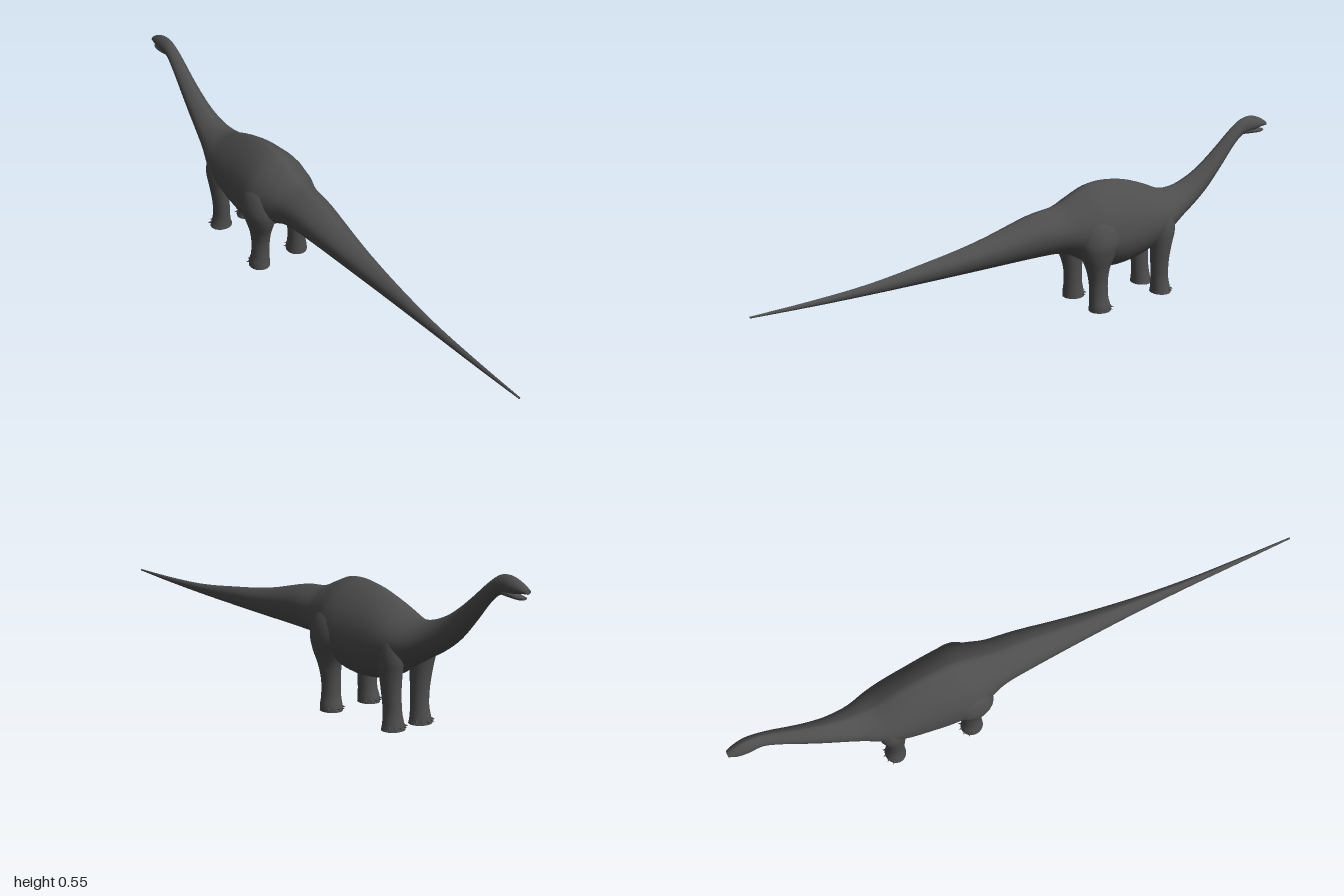
import * as THREE from 'three';

const hide = new THREE.MeshStandardMaterial({ color: 0x4d4d4d });
hide.name = 'dark grey hide';

// Smoothly resamples rows of numbers (Catmull-Rom through every row).
function resample(rows, steps) {
  const out = [];
  const at = i => rows[Math.max(0, Math.min(rows.length - 1, i))];
  for (let i = 0; i < rows.length - 1; i++) {
    for (let k = 0; k < steps; k++) {
      const t = k / steps;
      out.push(rows[i].map((b, c) => {
        const a = at(i - 1)[c], d = at(i + 1)[c], e = at(i + 2)[c];
        return b + 0.5 * t * (d - a + t * (2 * a - 5 * b + 4 * d - e + t * (3 * (b - d) + e - a)));
      }));
    }
  }
  out.push(rows[rows.length - 1]);
  return out;
}

// Skins closed rings of points and caps both ends with crisp edges.
function loft(rings, name) {
  const pos = [], index = [], n = rings[0].length;
  rings.forEach(r => r.forEach(p => pos.push(...p)));
  for (let i = 0; i < rings.length - 1; i++) {
    for (let j = 0; j < n; j++) {
      const a = i * n + j, b = i * n + (j + 1) % n;
      index.push(a, b, a + n, b, b + n, a + n);
    }
  }
  [rings[0], rings[rings.length - 1]].forEach((ring, end) => {
    const start = pos.length / 3;
    ring.forEach(p => pos.push(...p));
    pos.push(...[0, 1, 2].map(c => ring.reduce((s, p) => s + p[c], 0) / n));
    for (let j = 0; j < n; j++) {
      const a = start + j, b = start + (j + 1) % n;
      index.push(start + n, end ? a : b, end ? b : a);
    }
  });
  const geo = new THREE.BufferGeometry();
  geo.setAttribute('position', new THREE.Float32BufferAttribute(pos, 3));
  geo.setIndex(index);
  geo.computeVertexNormals();
  const mesh = new THREE.Mesh(geo, hide);
  mesh.name = name;
  return mesh;
}

// Lengthwise form from rows of x, top, bottom, height of widest point, half width.
// The upper half narrows toward the spine, the lower half is rounder.
function lengthwise(rows, name, ridge, keel, steps = 4, sides = 32) {
  return loft(resample(rows, steps).map(([x, top, bottom, mid, w]) =>
    Array.from({ length: sides }, (_, j) => {
      const a = j / sides * Math.PI * 2, c = Math.cos(a), s = Math.sin(a);
      const z = Math.sign(s) * w * Math.pow(Math.abs(s), c > 0 ? ridge : keel);
      return [x, mid + c * (c > 0 ? top - mid : mid - bottom), z];
    })), name);
}

// Leg from rows of y, centre x, centre z, radius x, radius z.
function leg(rows, side, name, sides = 20) {
  return loft(resample(rows, 4).map(([y, cx, cz, rx, rz]) =>
    Array.from({ length: sides }, (_, j) => {
      const a = j / sides * Math.PI * 2;
      return [cx + rx * Math.cos(a), y, side * cz + rz * Math.sin(a)];
    })), name);
}

// Fan of short claws around the front of a foot.
function claws(cx, cz, rx, rz, name) {
  const group = new THREE.Group();
  group.name = name;
  for (let i = -2; i <= 2; i++) {
    const a = i * 0.5;
    const geo = new THREE.ConeGeometry(0.009, 0.026, 8);
    geo.rotateZ(Math.PI / 2 + 0.25);
    geo.rotateY(a);
    const claw = new THREE.Mesh(geo, hide);
    claw.name = 'claw';
    claw.position.set(cx - rx * 0.9 * Math.cos(a), 0.0115, cz + rz * 0.95 * Math.sin(a));
    group.add(claw);
  }
  return group;
}

export function createModel() {
  const model = new THREE.Group();
  model.name = 'longNeckedDinosaur';

  // Snout, neck, trunk and tail in one continuous skin
  model.add(lengthwise([
    [-1.0, 0.522, 0.507, 0.513, 0.011],
    [-0.975, 0.537, 0.505, 0.517, 0.019],
    [-0.935, 0.551, 0.495, 0.52, 0.024],
    [-0.89, 0.545, 0.486, 0.515, 0.022],
    [-0.845, 0.515, 0.45, 0.48, 0.025],
    [-0.79, 0.468, 0.385, 0.425, 0.03],
    [-0.73, 0.42, 0.32, 0.37, 0.037],
    [-0.67, 0.382, 0.275, 0.325, 0.047],
    [-0.6, 0.356, 0.235, 0.29, 0.064],
    [-0.53, 0.357, 0.195, 0.27, 0.09],
    [-0.46, 0.387, 0.152, 0.26, 0.105],
    [-0.38, 0.416, 0.128, 0.255, 0.113],
    [-0.3, 0.43, 0.125, 0.255, 0.121],
    [-0.23, 0.426, 0.148, 0.265, 0.122],
    [-0.16, 0.398, 0.188, 0.28, 0.1],
    [-0.1, 0.373, 0.208, 0.29, 0.081],
    [0.0, 0.36, 0.212, 0.292, 0.069],
    [0.2, 0.31, 0.212, 0.267, 0.045],
    [0.4, 0.278, 0.213, 0.247, 0.026],
    [0.6, 0.252, 0.216, 0.235, 0.014],
    [0.8, 0.241, 0.222, 0.232, 0.008],
    [1.0, 0.237, 0.231, 0.234, 0.003],
  ], 'bodyNeckAndTail', 1.45, 1.1));

  // Lower jaw, slightly open
  model.add(lengthwise([
    [-0.988, 0.497, 0.489, 0.493, 0.009],
    [-0.97, 0.5, 0.486, 0.493, 0.015],
    [-0.93, 0.51, 0.488, 0.498, 0.019],
    [-0.89, 0.515, 0.49, 0.503, 0.015],
  ], 'lowerJaw', 1, 1, 4, 20));

  const hindLeg = [
    [0.36, -0.235, 0.05, 0.03, 0.02],
    [0.31, -0.23, 0.067, 0.068, 0.05],
    [0.25, -0.226, 0.08, 0.077, 0.055],
    [0.2, -0.22, 0.08, 0.062, 0.047],
    [0.15, -0.221, 0.077, 0.042, 0.036],
    [0.1, -0.225, 0.075, 0.033, 0.031],
    [0.05, -0.227, 0.076, 0.033, 0.031],
    [0.02, -0.23, 0.078, 0.037, 0.035],
    [0, -0.231, 0.078, 0.039, 0.036],
  ];
  const foreLeg = [
    [0.32, -0.5, 0.05, 0.025, 0.02],
    [0.28, -0.5, 0.06, 0.042, 0.035],
    [0.23, -0.5, 0.066, 0.046, 0.037],
    [0.18, -0.498, 0.063, 0.039, 0.035],
    [0.12, -0.497, 0.059, 0.033, 0.031],
    [0.06, -0.5, 0.056, 0.031, 0.029],
    [0.02, -0.504, 0.056, 0.034, 0.034],
    [0, -0.505, 0.056, 0.036, 0.04],
  ];

  // Legs and claws, mirrored across the body
  for (const [side, label] of [[1, 'Near'], [-1, 'Far']]) {
    model.add(leg(hindLeg, side, 'hindLeg' + label));
    model.add(leg(foreLeg, side, 'foreLeg' + label));
    model.add(claws(-0.231, side * 0.078, 0.039, 0.034, 'hindClaws' + label));
    model.add(claws(-0.505, side * 0.056, 0.035, 0.038, 'foreClaws' + label));
  }
  return model;
}
